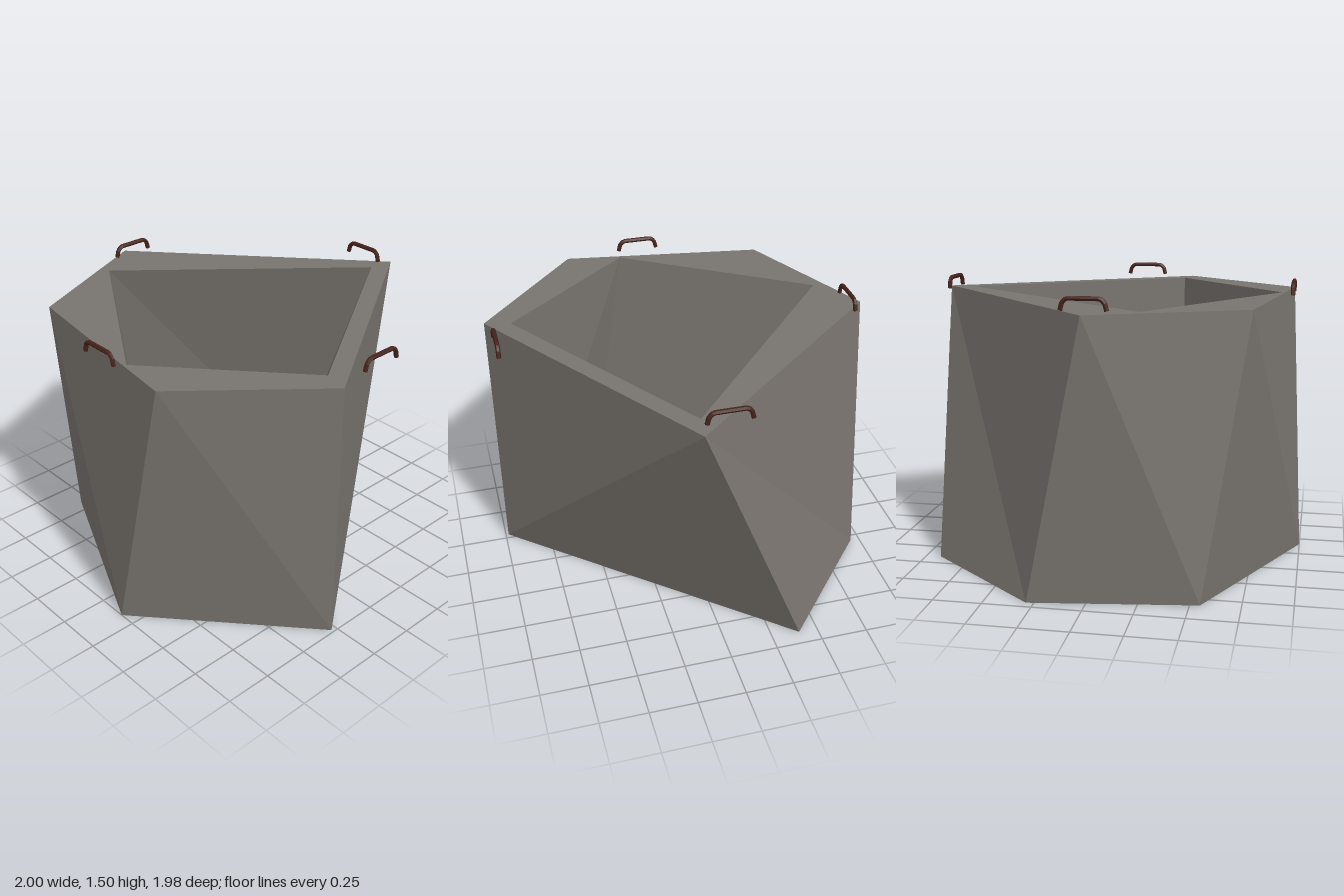
import * as THREE from 'three';

const HEIGHT = 1.42;

// Corner rings as [x, z], all running from the front corner towards +x
const outerTop = [[-0.28, 0.985], [1, 0.16], [0, -0.99], [-0.76, -0.64], [-0.92, 0.43]];
const outerBottom = [[-0.28, 0.985], [0.92, -0.4], [0.29, -0.95], [-0.55, -0.83], [-1, 0.16]];
const innerTop = [[-0.245, 0.85], [0.86, 0.14], [-0.245, -0.815], [-0.86, 0.14]];
const innerBottom = [[-0.245, 0.85], [0.79, -0.345], [0, -0.86], [-0.79, 0.37]];

// Joins two rings with triangles; each letter steps along the top or bottom ring
function wallGeometry(top, bottom, steps, inward) {
  const positions = [];
  const t = (i) => [top[i % top.length][0], HEIGHT, top[i % top.length][1]];
  const b = (i) => [bottom[i % bottom.length][0], 0, bottom[i % bottom.length][1]];
  let ti = 0, bi = 0;
  for (const step of steps) {
    const tri = step === 't' ? [b(bi), t(ti + 1), t(ti)] : [b(bi), b(bi + 1), t(ti)];
    if (step === 't') ti++; else bi++;
    if (inward) tri.reverse();
    positions.push(...tri.flat());
  }
  const geometry = new THREE.BufferGeometry();
  geometry.setAttribute('position', new THREE.Float32BufferAttribute(positions, 3));
  geometry.computeVertexNormals();
  return geometry;
}

// Flat ring between an outer and an inner outline, facing up or down
function rimGeometry(outer, inner, up) {
  const points = (ring) => ring.map(([x, z]) => new THREE.Vector2(x, up ? -z : z));
  const shape = new THREE.Shape(points(outer));
  shape.holes.push(new THREE.Path(points(inner)));
  const geometry = new THREE.ShapeGeometry(shape);
  geometry.rotateX(up ? -Math.PI / 2 : Math.PI / 2);
  if (up) geometry.translate(0, HEIGHT, 0);
  return geometry;
}

// Bent bar standing on the rim
function handleGeometry() {
  const half = [[0.11, 1.432], [0.1, 1.47], [0.078, 1.488]];
  const points = [
    ...half.map(([x, y]) => new THREE.Vector3(-x, y, 0)),
    ...half.slice().reverse().map(([x, y]) => new THREE.Vector3(x, y, 0)),
  ];
  const curve = new THREE.CatmullRomCurve3(points, false, 'catmullrom', 0.05);
  return new THREE.TubeGeometry(curve, 24, 0.012, 6, false);
}

export function createModel() {
  const model = new THREE.Group();

  const stone = new THREE.MeshStandardMaterial({ color: 0x78736e, flatShading: true });
  stone.name = 'stone grey';
  const iron = new THREE.MeshStandardMaterial({ color: 0x45231a, flatShading: true, side: THREE.DoubleSide });
  iron.name = 'rusty brown';

  const add = (name, geometry, material) => {
    const mesh = new THREE.Mesh(geometry, material);
    mesh.name = name;
    model.add(mesh);
    return mesh;
  };

  // Hollow faceted body, open through the middle
  add('outerWall', wallGeometry(outerTop, outerBottom, 'tbbtbtbtbt', false), stone);
  add('innerWall', wallGeometry(innerTop, innerBottom, 'tbtbtbbt', true), stone);
  add('topRim', rimGeometry(outerTop, innerTop, true), stone);
  add('bottomRim', rimGeometry(outerBottom, innerBottom, false), stone);

  // Four handles spaced evenly around the top
  const handle = handleGeometry();
  const names = ['frontHandle', 'leftHandle', 'backHandle', 'rightHandle'];
  names.forEach((name, i) => {
    const angle = (i * Math.PI) / 2;
    const mesh = add(name, handle, iron);
    mesh.position.set(Math.sin(angle) * 0.925, 0, 0.02 + Math.cos(angle) * 0.935);
    mesh.rotation.y = angle;
  });

  return model;
}
